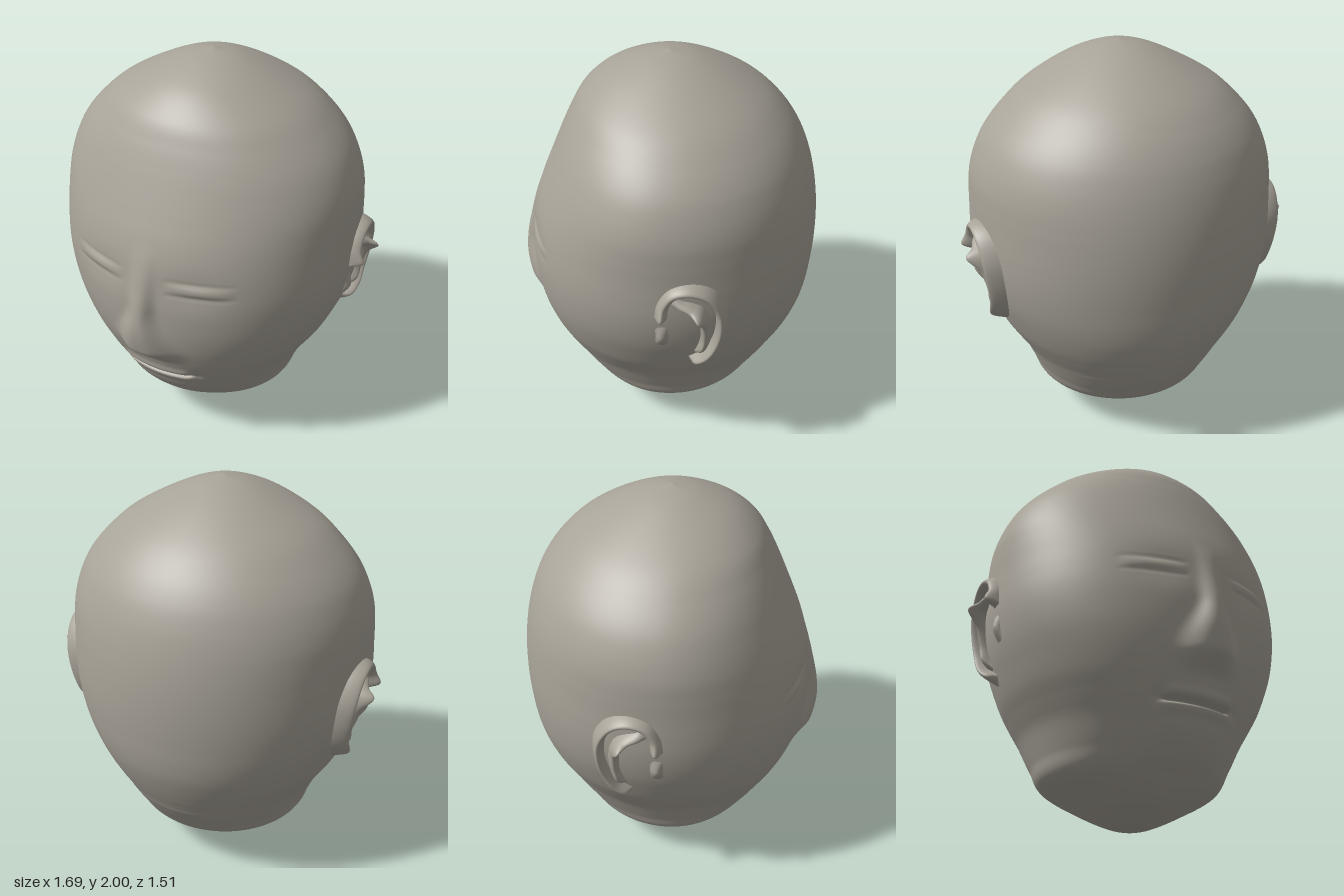
import * as THREE from 'three';

// Head profile: [height, half width, depth to the face, depth to the back]
const PROFILE = [
  [0, 0, 0, 0], [0.03, 0.12, 0.12, 0.12], [0.1, 0.27, 0.28, 0.27], [0.2, 0.44, 0.405, 0.435],
  [0.3, 0.487, 0.495, 0.515], [0.4, 0.53, 0.56, 0.58], [0.44, 0.55, 0.585, 0.6], [0.48, 0.575, 0.605, 0.62],
  [0.52, 0.6, 0.622, 0.64], [0.6, 0.648, 0.653, 0.675], [0.7, 0.692, 0.683, 0.71], [0.8, 0.73, 0.7, 0.73],
  [0.9, 0.755, 0.707, 0.74], [1.0, 0.768, 0.708, 0.746], [1.1, 0.77, 0.7, 0.747], [1.2, 0.767, 0.682, 0.742],
  [1.3, 0.764, 0.652, 0.73], [1.4, 0.755, 0.612, 0.71], [1.5, 0.726, 0.57, 0.68], [1.6, 0.675, 0.527, 0.635],
  [1.7, 0.59, 0.48, 0.565], [1.8, 0.475, 0.42, 0.46], [1.9, 0.3, 0.305, 0.3], [1.97, 0.14, 0.145, 0.14], [2, 0, 0, 0],
];
const spline = (pts) => new THREE.CatmullRomCurve3(pts, false, 'catmullrom', 0.5);
const widthCurve = spline(PROFILE.map(([y, w]) => new THREE.Vector3(w, y, 0)));
const depthCurve = spline(PROFILE.map(([y, , f, b]) => new THREE.Vector3(f, y, b)));
const smooth = THREE.MathUtils.smoothstep;
const bell = (v, centre, size, power = 2) => Math.exp(-Math.pow(Math.abs((v - centre) / size), power));

// Width of the head's side at a given depth and height
function sideOfHead(z, y) {
  let lo = 0, hi = 1;
  for (let i = 0; i < 24; i++) {
    const mid = (lo + hi) / 2;
    if (widthCurve.getPoint(mid).y < y) lo = mid; else hi = mid;
  }
  const d = depthCurve.getPoint(lo);
  const k = z / (z > 0 ? d.x : d.z);
  return widthCurve.getPoint(lo).x * Math.sqrt(Math.max(0, 1 - k * k));
}

// Forward push of the face: nose, mouth, chin, eyes
function faceRelief(x, y) {
  const ax = Math.abs(x);
  const noseHeight = 0.066 * smooth(y, 0.58, 0.7) * (1 - 0.8 * smooth(y, 0.78, 1.18)) * (1 - smooth(y, 1.1, 1.3));
  const noseWidth = 0.055 + 0.085 * (1 - smooth(y, 0.66, 0.95));
  let d = noseHeight * bell(x, 0, noseWidth, 3);

  const lips = 1 - smooth(ax, 0.15, 0.21);
  d -= 0.036 * bell(y, 0.472, 0.011) * lips;
  d += 0.01 * bell(y, 0.505, 0.025) * lips + 0.008 * bell(y, 0.44, 0.025) * lips;
  d -= 0.012 * bell(ax, 0.215, 0.03) * bell(y, 0.48, 0.03);
  d += 0.014 * bell(x, 0, 0.2, 6) * bell(y, 0.31, 0.1, 4);

  const ex = (ax - 0.275) / 0.16;
  const lid = Math.max(0, 1 - ex * ex);
  d -= 0.012 * bell(ax, 0.24, 0.16) * bell(y, 1.08, 0.09);
  d += 0.013 * lid * bell(y, 1.09, 0.03);
  d -= 0.006 * Math.sqrt(lid) * (bell(y, 1.125, 0.01) + bell(y, 1.055, 0.01));
  return d;
}

// Builds a smooth surface from a grid of points
function gridGeometry(rows, cols, closed, pointAt, flip = false) {
  const pos = [], index = [];
  const n = closed ? cols : cols + 1;
  for (let i = 0; i <= rows; i++)
    for (let j = 0; j < n; j++) pos.push(...pointAt(i / rows, j / cols));
  for (let i = 0; i < rows; i++)
    for (let j = 0; j < cols; j++) {
      const a = i * n + j, b = i * n + ((j + 1) % n), c = b + n, d = a + n;
      if (flip) index.push(a, c, b, a, d, c);
      else index.push(a, b, c, a, c, d);
    }
  const g = new THREE.BufferGeometry();
  g.setAttribute('position', new THREE.Float32BufferAttribute(pos, 3));
  g.setIndex(index);
  g.computeVertexNormals();
  return g;
}

function headGeometry() {
  return gridGeometry(240, 180, true, (u, s) => {
    const t = s * Math.PI * 2;
    const a = t - 0.5 * Math.sin(t); // finer columns across the face
    const w = widthCurve.getPoint(u), d = depthCurve.getPoint(u);
    const x = w.x * Math.sin(a), c = Math.cos(a);
    let z = c * (c > 0 ? d.x : d.z);
    if (c > 0) z += faceRelief(x, w.y) * smooth(c, 0.2, 0.6);
    return [x, w.y, z];
  });
}

// Raised fold on the side of the head; path points are (z, y, height)
function foldGeometry(path, inner, outer, side) {
  const curve = spline(path.map((p) => new THREE.Vector3(...p)));
  return gridGeometry(64, 16, false, (u, v) => {
    const p = curve.getPoint(u), t = curve.getTangent(u);
    const len = Math.hypot(t.x, t.y) || 1;
    const k = v * 2 - 1;
    const off = k * (k < 0 ? inner : outer);
    const z = p.x + (t.y / len) * -off * -1, y = p.y - (t.x / len) * off;
    const lift = Math.pow(Math.cos((k * Math.PI) / 2), 0.8) * Math.max(0, p.z);
    return [side * (sideOfHead(z, y) + lift - 0.004), y, z];
  }, side < 0);
}

const HELIX = [
  [0.0, 1.01, 0], [-0.005, 1.04, 0.066], [-0.015, 1.1, 0.045], [-0.06, 1.165, 0.045], [-0.14, 1.185, 0.055],
  [-0.22, 1.15, 0.065], [-0.275, 1.06, 0.072], [-0.285, 0.95, 0.07], [-0.265, 0.84, 0.07],
  [-0.22, 0.755, 0.078], [-0.165, 0.705, 0.06], [-0.135, 0.69, 0],
];
const ANTIHELIX = [
  [-0.05, 1.13, 0], [-0.09, 1.1, 0.03], [-0.14, 1.08, 0.055], [-0.18, 1.05, 0.1], [-0.205, 0.98, 0.05],
  [-0.21, 0.88, 0.04], [-0.195, 0.8, 0.045], [-0.17, 0.74, 0],
];
const TRAGUS = [[0.0, 0.97, 0], [-0.005, 0.92, 0.022], [-0.005, 0.88, 0.026], [0.0, 0.82, 0]];

export function createModel() {
  const clay = new THREE.MeshStandardMaterial({ color: 0xa8a398 });
  clay.name = 'warm grey clay';
  const clayFold = clay;
  clayFold.side = THREE.DoubleSide;

  const model = new THREE.Group();
  model.name = 'head model';
  const add = (parent, name, geometry) => {
    const mesh = new THREE.Mesh(geometry, clay);
    mesh.name = name;
    parent.add(mesh);
  };

  add(model, 'head', headGeometry());

  // Ears, mirrored left and right
  for (const side of [1, -1]) {
    const ear = new THREE.Group();
    ear.name = side > 0 ? 'leftEar' : 'rightEar';
    add(ear, 'earRim', foldGeometry(HELIX, 0.03, 0.03, side));
    add(ear, 'earInnerFold', foldGeometry(ANTIHELIX, 0.025, 0.03, side));
    add(ear, 'earFrontFlap', foldGeometry(TRAGUS, 0.03, 0.035, side));
    model.add(ear);
  }
  return model;
}
